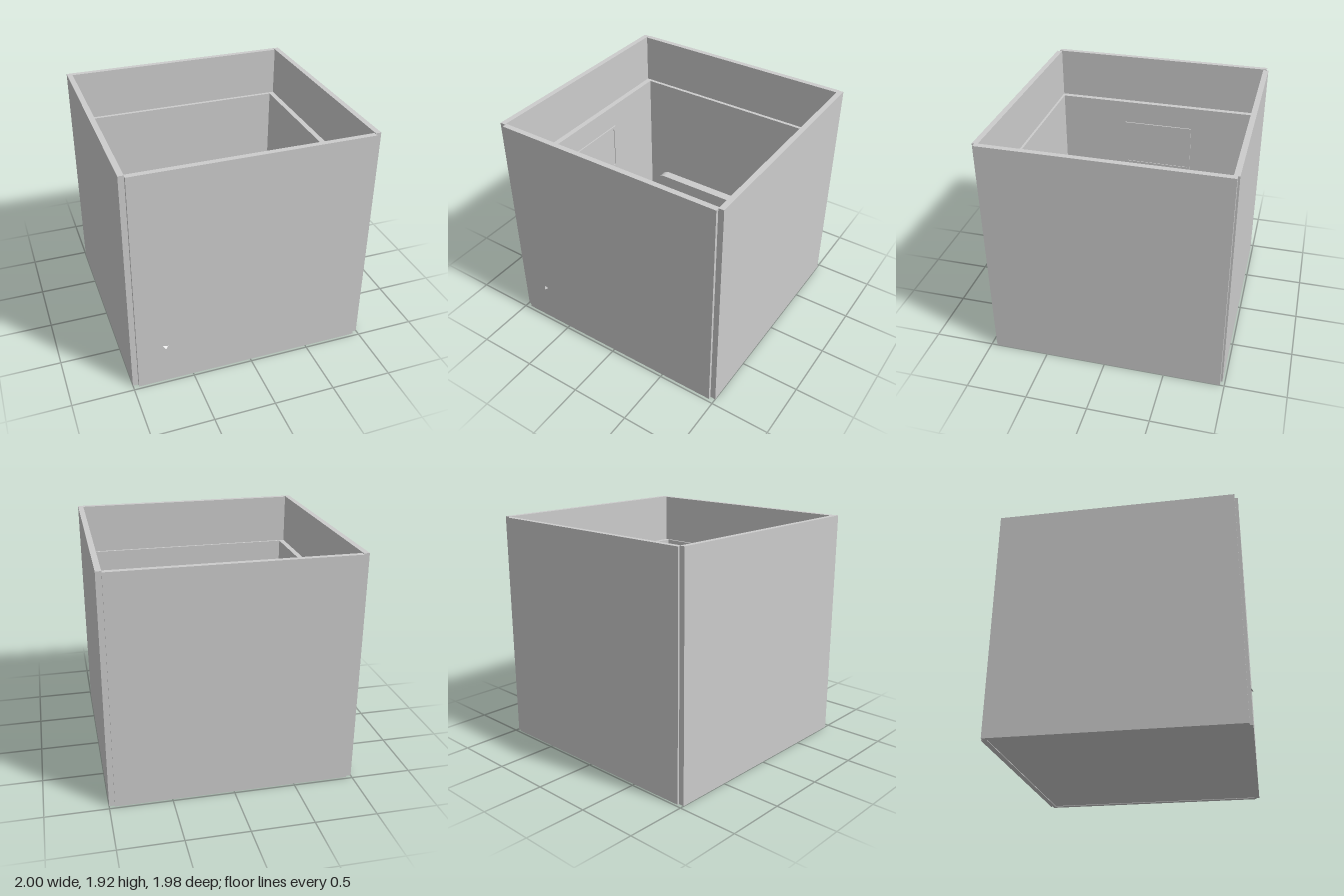
import * as THREE from 'three';

const grey = new THREE.MeshStandardMaterial({ color: 0xcccccc });
const greyFlat = new THREE.MeshStandardMaterial({ color: 0xcccccc, flatShading: true });
const greyThin = new THREE.MeshStandardMaterial({ color: 0xcccccc, side: THREE.DoubleSide });

function add(parent, name, geometry, material = grey) {
  const mesh = new THREE.Mesh(geometry, material);
  mesh.name = name;
  parent.add(mesh);
  return mesh;
}

// Box given by its extents on each axis
function block(parent, name, [x0, x1], [y0, y1], [z0, z1]) {
  const mesh = add(parent, name, new THREE.BoxGeometry(x1 - x0, y1 - y0, z1 - z0));
  mesh.position.set((x0 + x1) / 2, (y0 + y1) / 2, (z0 + z1) / 2);
  return mesh;
}

function group(parent, name) {
  const g = new THREE.Group();
  g.name = name;
  parent.add(g);
  return g;
}

// Upright slab with rounded upper corners, extruded along z
function roundedSlab(parent, name, [x0, x1], [y0, y1], [z0, z1], rLeft, rRight) {
  const s = new THREE.Shape();
  s.moveTo(x0, y0);
  s.lineTo(x1, y0);
  s.lineTo(x1, y1 - rRight);
  if (rRight) s.absarc(x1 - rRight, y1 - rRight, rRight, 0, Math.PI / 2, false);
  s.lineTo(x0 + rLeft, y1);
  if (rLeft) s.absarc(x0 + rLeft, y1 - rLeft, rLeft, Math.PI / 2, Math.PI, false);
  const geo = new THREE.ExtrudeGeometry(s, { depth: z1 - z0, bevelEnabled: false, curveSegments: 6 });
  add(parent, name, geo).position.z = z0;
}

function buildRoom(parent) {
  const room = group(parent, 'room');
  block(room, 'floor', [-0.955, 0.955], [0.005, 0.05], [-0.935, 0.93]);
  block(room, 'frontWall', [-0.955, 0.955], [0, 1.915], [0.93, 0.975]);
  block(room, 'backWall', [-0.955, 0.955], [0, 1.915], [-0.98, -0.935]);
  for (const s of [-1, 1]) {
    const x = [s * 0.955, s].sort((a, b) => a - b);
    block(room, 'sideWall', x, [0, 1.92], [-0.965, 0.95]);
    const lx = [s * 0.908, s * 0.955].sort((a, b) => a - b);
    block(room, 'sideLining', lx, [0.05, 1.49], [-0.935, 0.93]);
  }
  block(room, 'frontLining', [-0.908, 0.908], [0.05, 1.49], [0.91, 0.93]);
  block(room, 'backLining', [-0.908, 0.908], [0.05, 1.49], [-0.935, -0.905]);
}

function buildSofa(parent) {
  const sofa = group(parent, 'sofa');
  roundedSlab(sofa, 'sofaBack', [-0.77, 0.295], [0.05, 0.52], [-0.885, -0.8], 0.085, 0.085);
  roundedSlab(sofa, 'sofaArm', [-0.77, -0.685], [0.05, 0.36], [-0.8, -0.46], 0.08, 0);
  roundedSlab(sofa, 'sofaArm', [0.21, 0.295], [0.05, 0.36], [-0.8, -0.46], 0, 0.08);
  block(sofa, 'sofaSeat', [-0.685, 0.21], [0.05, 0.24], [-0.8, -0.46]);
}

function buildTelevision(parent) {
  const tv = group(parent, 'television');
  block(tv, 'televisionStand', [-0.52, 0.19], [0.05, 0.27], [0.515, 0.87]);
  block(tv, 'televisionBezel', [-0.28, 0.025], [0.27, 0.53], [0.64, 0.69]);
  block(tv, 'televisionScreen', [-0.25, -0.005], [0.3, 0.5], [0.636, 0.64]);
  // Tube housing narrows toward the wall
  const housing = new THREE.BoxGeometry(0.305, 0.26, 0.21, 1, 1, 2);
  const p = housing.attributes.position;
  for (let i = 0; i < p.count; i++) {
    const z = p.getZ(i);
    const k = z < -0.1 ? 1 : z < 0.1 ? 0.8 : 0.66;
    p.setXY(i, p.getX(i) * k, -0.13 + (p.getY(i) + 0.13) * k);
  }
  housing.computeVertexNormals();
  add(tv, 'televisionHousing', housing, greyFlat).position.set(-0.1275, 0.4, 0.795);
}

function buildWallPieces(parent) {
  // Framed board on the front wall with one softened corner
  const board = group(parent, 'wallBoard');
  roundedSlab(board, 'boardBody', [-0.175, 0.77], [0.6, 1.06], [0.87, 0.91], 0, 0.04);
  const rim = new THREE.Shape();
  rim.moveTo(-0.175, 0.6);
  rim.lineTo(0.77, 0.6);
  rim.lineTo(0.77, 1.02);
  rim.absarc(0.73, 1.02, 0.04, 0, Math.PI / 2, false);
  rim.lineTo(-0.175, 1.06);
  const hole = new THREE.Path();
  hole.moveTo(-0.145, 0.63);
  hole.lineTo(-0.145, 1.03);
  hole.lineTo(0.74, 1.03);
  hole.lineTo(0.74, 0.63);
  rim.holes.push(hole);
  add(board, 'boardRim', new THREE.ExtrudeGeometry(rim, { depth: 0.02, bevelEnabled: false, curveSegments: 6 }))
    .position.z = 0.85;
  // Flat picture on the right wall
  const picture = group(parent, 'picture');
  block(picture, 'pictureSheet', [-0.908, -0.903], [0.87, 1.26], [-0.3, 0.28]);
  for (const y of [0.85, 1.26]) block(picture, 'pictureFrame', [-0.908, -0.897], [y, y + 0.025], [-0.325, 0.31]);
  for (const z of [-0.325, 0.285]) block(picture, 'pictureFrame', [-0.908, -0.897], [0.875, 1.26], [z, z + 0.025]);
}

function buildPlant(parent, x, z, turn) {
  const plant = group(parent, 'plant');
  plant.position.set(x, 0.05, z);
  plant.rotation.y = turn;
  const profile = [[0, 0], [0.075, 0], [0.1, 0.18], [0.088, 0.18], [0.084, 0.155], [0, 0.155]];
  add(plant, 'pot', new THREE.LatheGeometry(profile.map(([r, y]) => new THREE.Vector2(r, y)), 20), greyThin);
  // Leaf offset x, z, height and spin
  const leaves = [
    [-0.12, -0.08, 0.4, 0.4], [0.03, -0.11, 0.42, 0.5], [0.11, -0.04, 0.38, 0.2],
    [0.055, 0.0, 0.46, -0.2], [-0.095, 0.0, 0.44, 0.2], [-0.155, 0.035, 0.34, 0.7],
  ];
  for (const [lx, lz, h, spin] of leaves) {
    const path = new THREE.QuadraticBezierCurve3(
      new THREE.Vector3(0, 0.15, 0), new THREE.Vector3(lx * 0.2, h, lz * 0.2), new THREE.Vector3(lx, h, lz));
    add(plant, 'stem', new THREE.TubeGeometry(path, 8, 0.006, 5));
    // Square blade drooping away from the stem
    const blade = new THREE.PlaneGeometry(0.1, 0.1, 3, 3).rotateX(-Math.PI / 2).rotateY(spin);
    const p = blade.attributes.position;
    const r = Math.hypot(lx, lz);
    for (let i = 0; i < p.count; i++) {
      const out = (p.getX(i) * lx + p.getZ(i) * lz) / r;
      p.setY(i, -out * 0.45 - out * out * 4);
    }
    blade.computeVertexNormals();
    add(plant, 'leaf', blade, greyThin).position.set(lx, h, lz);
  }
}

export function createModel() {
  const model = new THREE.Group();
  model.name = 'livingRoom';
  buildRoom(model);
  buildSofa(model);
  buildTelevision(model);
  buildWallPieces(model);
  block(model, 'lowTable', [-0.045, 0.047], [0.05, 0.17], [-0.165, 0.13]);
  buildPlant(model, 0.72, -0.725, 0);
  buildPlant(model, -0.755, 0.77, Math.PI / 2);
  return model;
}
